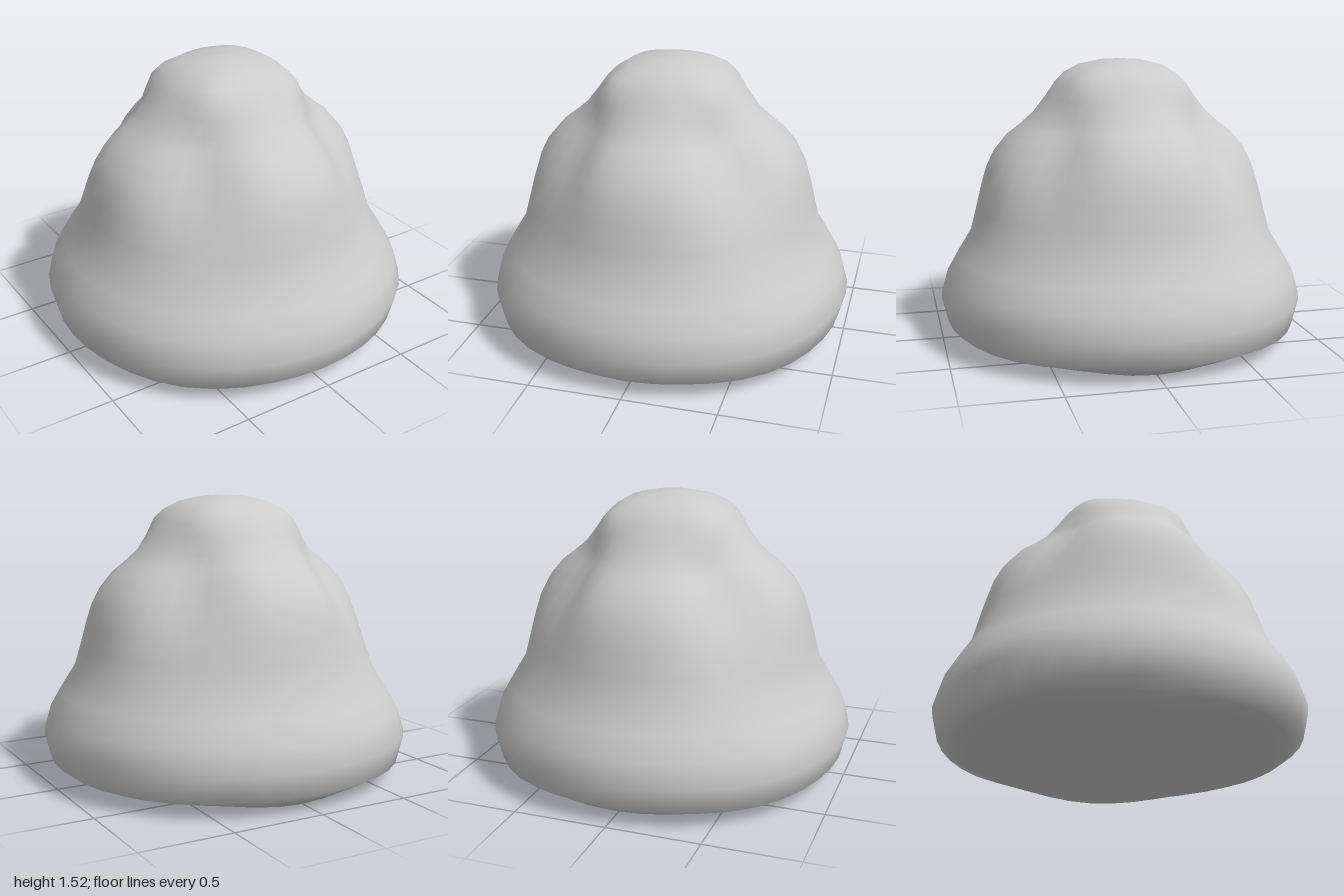
import * as THREE from 'three';

// Rings from the middle of the underside, round the rim, up to the crown:
// [radius, height, depth of the diagonal grooves (negative bulges out), lift of the diagonals]
const RINGS = [
  [0, 0.1, 0, 0], [0.34, 0.095, 0, 0], [0.54, 0.055, 0, 0.025], [0.7, 0.03, 0, 0.025],
  [0.82, 0.005, 0, 0.035], [0.9, 0.05, 0, 0.01], [0.967, 0.1, -0.01, -0.015], [1, 0.23, -0.012, 0],
  [0.965, 0.355, -0.01, 0], [0.9, 0.47, -0.005, 0], [0.83, 0.585, 0, 0], [0.795, 0.72, 0.02, 0],
  [0.765, 0.84, 0.05, 0], [0.735, 0.94, 0.085, 0], [0.69, 1.03, 0.11, 0], [0.62, 1.115, 0.1, 0],
  [0.55, 1.17, 0.07, 0], [0.48, 1.23, 0.03, 0], [0.41, 1.32, -0.015, 0], [0.36, 1.39, -0.035, 0],
  [0.31, 1.44, -0.035, 0], [0.235, 1.487, -0.015, 0], [0.12, 1.515, 0, 0], [0, 1.523, 0, 0],
];

// Closed body built ring by ring, with four lobes facing the front, back and sides
function lobedBell(segments) {
  const positions = [];
  const indices = [];

  RINGS.forEach(([radius, y, groove, lift], j) => {
    for (let i = 0; i < segments; i++) {
      const a = (i / segments) * Math.PI * 2;
      const c4 = Math.cos(4 * a);
      // The second harmonic gives broad lobes and narrower grooves
      const r = radius + groove * (-0.34 + 0.5 * c4 - 0.16 * Math.cos(8 * a));
      positions.push(r * Math.cos(a), y + lift * (1 - c4) / 2, r * Math.sin(a));
      if (j < RINGS.length - 1) {
        const p = j * segments + i;
        const q = j * segments + ((i + 1) % segments);
        indices.push(p, p + segments, q, q, p + segments, q + segments);
      }
    }
  });

  const geometry = new THREE.BufferGeometry();
  geometry.setAttribute('position', new THREE.Float32BufferAttribute(positions, 3));
  geometry.setIndex(indices);
  geometry.computeVertexNormals();
  return geometry;
}

export function createModel() {
  const model = new THREE.Group();
  model.name = 'lobedBell';
  const body = new THREE.Mesh(lobedBell(40), new THREE.MeshStandardMaterial({ color: 0xcccccc }));
  body.name = 'body';
  model.add(body);
  return model;
}
